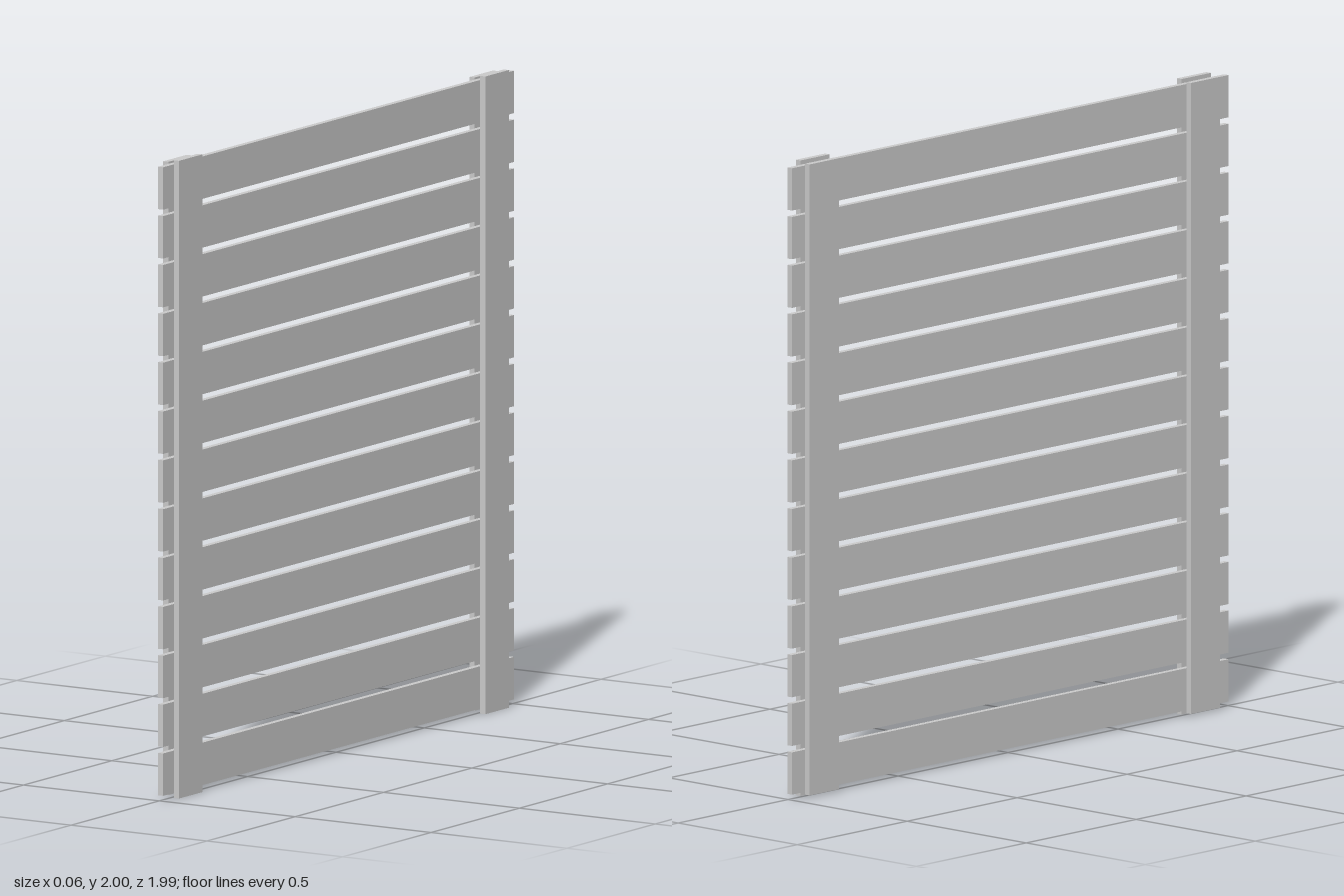
import * as THREE from 'three';

const material = new THREE.MeshStandardMaterial({ color: 0xcccccc, flatShading: true });

function board(name, size, position) {
  const mesh = new THREE.Mesh(new THREE.BoxGeometry(...size), material);
  mesh.name = name;
  mesh.position.set(...position);
  return mesh;
}

export function createModel() {
  const model = new THREE.Group();
  model.name = 'slattedFencePanel';

  const thickness = 0.019, width = 0.133, length = 1.986;

  // Horizontal slats, evenly spaced with narrow gaps
  const slatCount = 13, firstY = 0.082, pitch = 0.1532;
  const slats = new THREE.Group();
  slats.name = 'slats';
  for (let i = 0; i < slatCount; i++) {
    slats.add(board('slat', [thickness, width, length], [0, firstY + i * pitch, 0]));
  }
  model.add(slats);

  // Upright battens clamp the slats on both faces; the left ones are full height
  const battens = new THREE.Group();
  battens.name = 'battens';
  for (const side of [-1, 1]) {
    const height = side > 0 ? 2 : length;
    for (const end of [-1, 1]) {
      battens.add(board(
        side > 0 ? 'leftBatten' : 'rightBatten',
        [thickness, height, width],
        [side * 0.0195, 1, end * 0.867],
      ));
    }
  }
  model.add(battens);

  return model;
}
